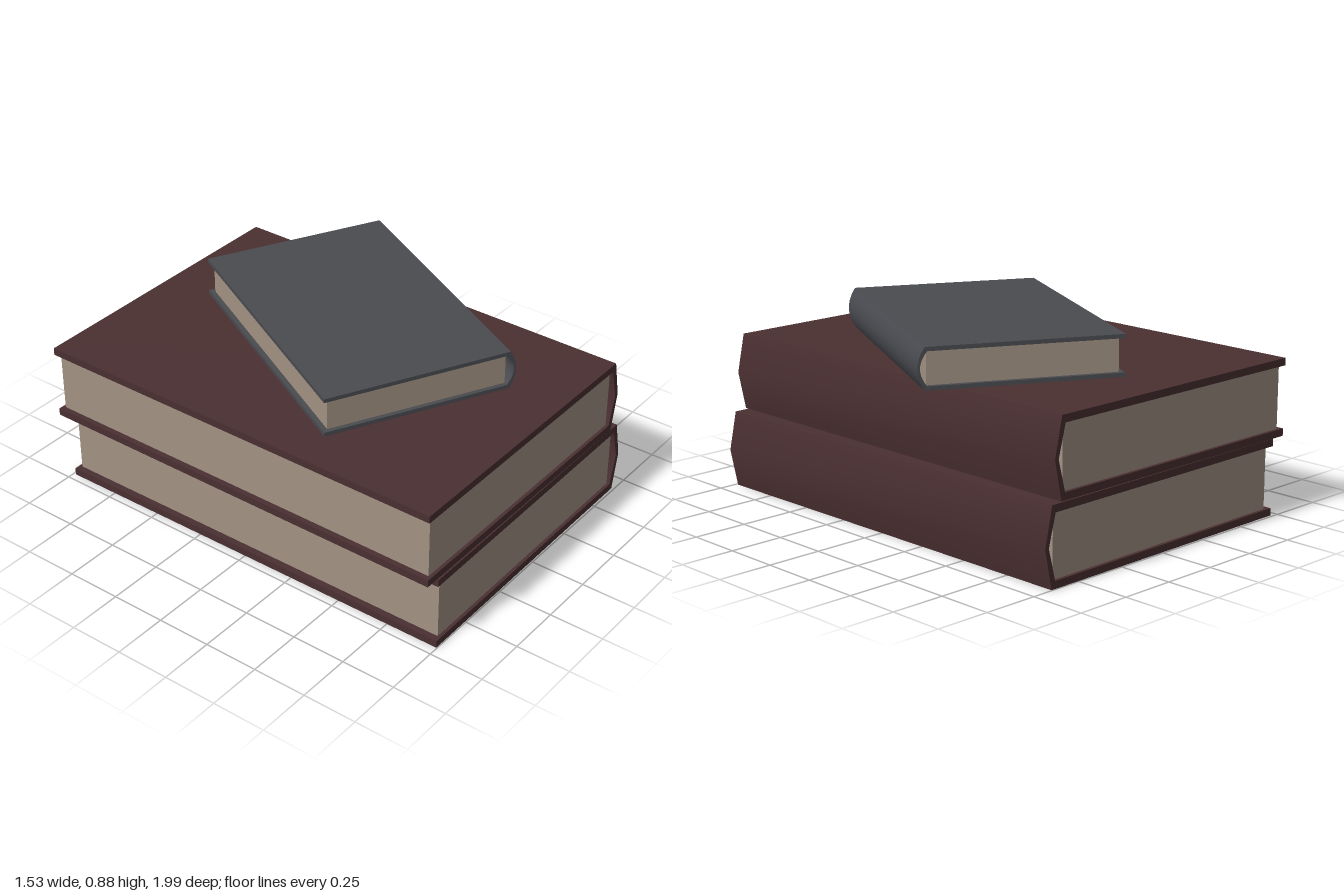
import * as THREE from 'three';
import { toCreasedNormals } from 'three/addons/utils/BufferGeometryUtils.js';

const material = (name, color) => {
  const m = new THREE.MeshStandardMaterial({ color });
  m.name = name;
  return m;
};

// Local frame: spine on +x, book length along z, resting on y = 0.
// left/hinge/tip are x positions of the fore edge, the cover's end and the spine's bulge.
function makeBook(name, o, coverMat, pageMat) {
  const { left, hinge, tip, height: h, length, board: t, inset, steps } = o;
  const book = new THREE.Group();
  book.name = name;

  // points of a bulging spine line, from bottom to top
  const bulge = (x0, x1, y0, y1) => {
    const pts = [];
    for (let i = 0; i <= steps; i++) {
      const u = i / steps;
      pts.push(new THREE.Vector2(x0 + (x1 - x0) * 4 * u * (1 - u), y0 + (y1 - y0) * u));
    }
    return pts;
  };

  // covers and spine in one C-shaped section
  const wall = t * 0.6;
  const section = new THREE.Shape([
    new THREE.Vector2(left, 0),
    ...bulge(hinge, tip, 0, h),
    new THREE.Vector2(left, h),
    new THREE.Vector2(left, h - t),
    ...bulge(hinge - wall, tip - wall, t, h - t).reverse(),
    new THREE.Vector2(left, t),
  ]);
  const caseGeo = new THREE.ExtrudeGeometry(section, { depth: length, bevelEnabled: false });
  caseGeo.translate(0, 0, -length / 2);
  const cover = new THREE.Mesh(toCreasedNormals(caseGeo, 0.6), coverMat);
  cover.name = 'coverAndSpine';

  // page block, set back from the cover edges
  const x0 = left + inset, x1 = hinge - wall;
  const pages = new THREE.Mesh(
    new THREE.BoxGeometry(x1 - x0, h - 2 * t, length - 2 * o.endInset), pageMat);
  pages.position.set((x0 + x1) / 2, h / 2, 0);
  pages.name = 'pages';

  book.add(cover, pages);
  book.position.set(...o.position);
  book.rotation.y = o.turn;
  return book;
}

export function createModel() {
  const group = new THREE.Group();
  group.name = 'bookStack';
  const maroon = material('maroonCover', 0x4a2f31);
  const slate = material('slateCover', 0x494b50);
  const paper = material('paper', 0xa39384);

  const large = { height: 0.345, board: 0.033, steps: 2, endInset: 0.015 };
  group.add(
    makeBook('bottomBook', {
      ...large, left: -0.71, hinge: 0.655, tip: 0.692, length: 1.985, inset: 0.03,
      position: [0, 0, 0], turn: 0.006,
    }, maroon, paper),
    makeBook('middleBook', {
      ...large, left: -0.77, hinge: 0.6, tip: 0.637, length: 1.99, inset: 0.025,
      position: [0, 0.35, -0.003], turn: 0,
    }, maroon, paper),
    makeBook('topBook', {
      left: -0.44, hinge: 0.408, tip: 0.438, height: 0.18, length: 1.25, board: 0.018,
      inset: 0.022, endInset: 0.02, steps: 10,
      position: [0.085, 0.699, -0.005], turn: -0.482,
    }, slate, paper),
  );
  return group;
}
